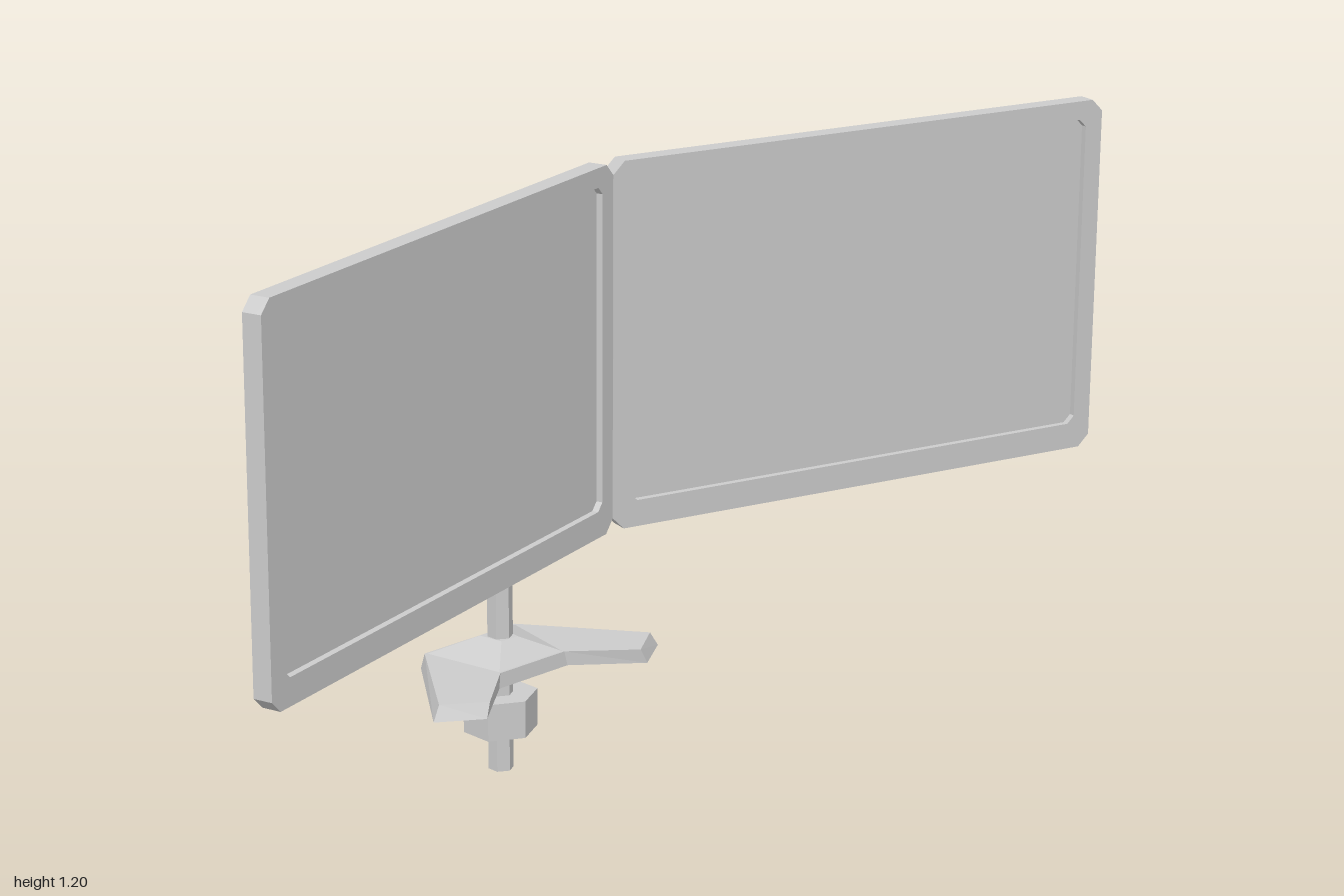
import * as THREE from 'three';

const material = new THREE.MeshStandardMaterial({ color: 0xcccccc, flatShading: true });
const TILT = THREE.MathUtils.degToRad(15);

function add(parent, name, geometry, x = 0, y = 0, z = 0) {
  const mesh = new THREE.Mesh(geometry, material);
  mesh.name = name;
  mesh.position.set(x, y, z);
  parent.add(mesh);
  return mesh;
}

const outline = (pts) => new THREE.Shape(pts.map(([x, y]) => new THREE.Vector2(x, y)));

// Prism along z; the far end is scaled by (sx, sy) to taper it
function prism(shape, depth, sx = 1, sy = 1) {
  const g = new THREE.ExtrudeGeometry(shape, { depth, bevelEnabled: false });
  const p = g.attributes.position;
  for (let i = 0; i < p.count; i++) {
    if (p.getZ(i) > depth / 2) p.setXY(i, p.getX(i) * sx, p.getY(i) * sy);
  }
  g.computeVertexNormals();
  return g;
}

// The same prism standing upright, with outline points given as (x, z)
const upright = (pts, height, sx, sz) =>
  prism(outline(pts.map(([x, z]) => [x, -z])), height, sx, sz).rotateX(-Math.PI / 2);

// Rectangle with cut corners
function cutRect(w, h, c) {
  const x = w / 2, y = h / 2;
  return [[x - c, -y], [x, c - y], [x, y - c], [x - c, y], [c - x, y], [-x, y - c], [-x, c - y], [c - x, -y]];
}

// Flat link with cut ends between two pivots (x, z)
function link(parent, name, a, b, y, r) {
  const dx = b[0] - a[0], dz = b[1] - a[1];
  const g = upright(cutRect(Math.hypot(dx, dz) + 2.2 * r, 2 * r, r * 0.55), 0.04);
  g.rotateY(Math.atan2(-dz, dx));
  add(parent, name, g, (a[0] + b[0]) / 2, y, (a[1] + b[1]) / 2);
}

function pin(parent, name, [x, z], y0, y1, r = 0.025) {
  return add(parent, name, new THREE.CylinderGeometry(r, r, y1 - y0, 6), x, (y0 + y1) / 2, z);
}

// Desk clamp, pole and the bar that carries both arms
function createStand() {
  const stand = new THREE.Group();
  stand.name = 'stand';
  const pole = [0, -0.24];
  pin(stand, 'pole', pole, 0, 0.79, 0.024);
  pin(stand, 'clampNut', pole, 0.078, 0.15, 0.067).scale.x = 1.07;

  const half = [[0.12, -0.085], [0.28, 0.13], [0.2, 0.183], [0.085, 0.09]];
  const mirrored = half.map(([x, z]) => [-x, z]).reverse();
  add(stand, 'basePlate', upright([...half, ...mirrored], 0.028, 0.94, 0.97), 0, 0.205, -0.24);
  const hill = [[0.112, -0.08], [0.08, 0.085], [-0.08, 0.085], [-0.112, -0.08]];
  add(stand, 'baseCollar', upright(hill, 0.03, 0.25, 0.3), 0, 0.232, -0.24);

  link(stand, 'crossBar', [-0.075, -0.245], [0.075, -0.245], 0.65, 0.044);
  return stand;
}

// Two-link arm; side is 1 for left and -1 for right
function createArm(side) {
  const arm = new THREE.Group();
  arm.name = side > 0 ? 'leftArm' : 'rightArm';
  const base = [side * 0.075, -0.247];
  const elbow = side > 0 ? [0.283, -0.183] : [-0.301, -0.177];
  const wrist = [side * 0.55, -0.022];
  link(arm, 'innerLink', base, elbow, 0.71, 0.05);
  link(arm, 'outerLink', elbow, wrist, 0.77, 0.05);
  pin(arm, 'basePin', base, 0.63, 0.77);
  pin(arm, 'elbowPin', elbow, 0.69, 0.83);
  pin(arm, 'wristPin', wrist, 0.75, 0.89);
  return arm;
}

// Screen with its rear housing and mount, built facing +z
function createScreen(side) {
  const screen = new THREE.Group();
  screen.name = side > 0 ? 'leftScreen' : 'rightScreen';
  const W = 1.025, H = 0.665, T = 0.035;

  const rim = outline(cutRect(W, H, 0.022));
  const opening = cutRect(W - 0.07, H - 0.083, 0.014).map(([x, y]) => new THREE.Vector2(x, y + 0.007));
  rim.holes.push(new THREE.Path(opening));
  add(screen, 'bezel', prism(rim, 0.012), 0, 0, T / 2 - 0.012);
  add(screen, 'panel', prism(outline(cutRect(W, H, 0.022)), T - 0.012), 0, 0, -T / 2);

  // Housing and mount grow towards the back
  const backward = (shape, depth, sx, sy) => prism(shape, depth, sx, sy).rotateY(Math.PI);
  const housing = outline([[-0.225, -0.153], [0.225, -0.153], [0.225, 0.153], [-0.225, 0.153]]);
  add(screen, 'rearHousing', backward(housing, 0.045, 0.82, 0.87), 0, 0, -T / 2);

  // Four-armed mounting plate
  const star = [];
  for (let i = 0; i < 4; i++) {
    const a = Math.PI / 4 + i * Math.PI / 2;
    for (const [r, w] of [[0.045, -0.02], [0.115, -0.015], [0.115, 0.015], [0.045, 0.02]]) {
      star.push([r * Math.cos(a) - w * Math.sin(a), r * Math.sin(a) + w * Math.cos(a)]);
    }
  }
  add(screen, 'mountPlate', backward(outline(star), 0.018), 0, -0.01, -T / 2 - 0.045);
  link(screen, 'mountLink', [0, -0.2], [0, -0.12], -0.042, 0.046);

  screen.position.set(side * 0.5, 0.872, 0.172);
  screen.rotation.y = -side * TILT;
  return screen;
}

export function createModel() {
  const model = new THREE.Group();
  model.name = 'dualScreenStand';
  model.add(createStand());
  for (const side of [1, -1]) model.add(createArm(side), createScreen(side));
  return model;
}
